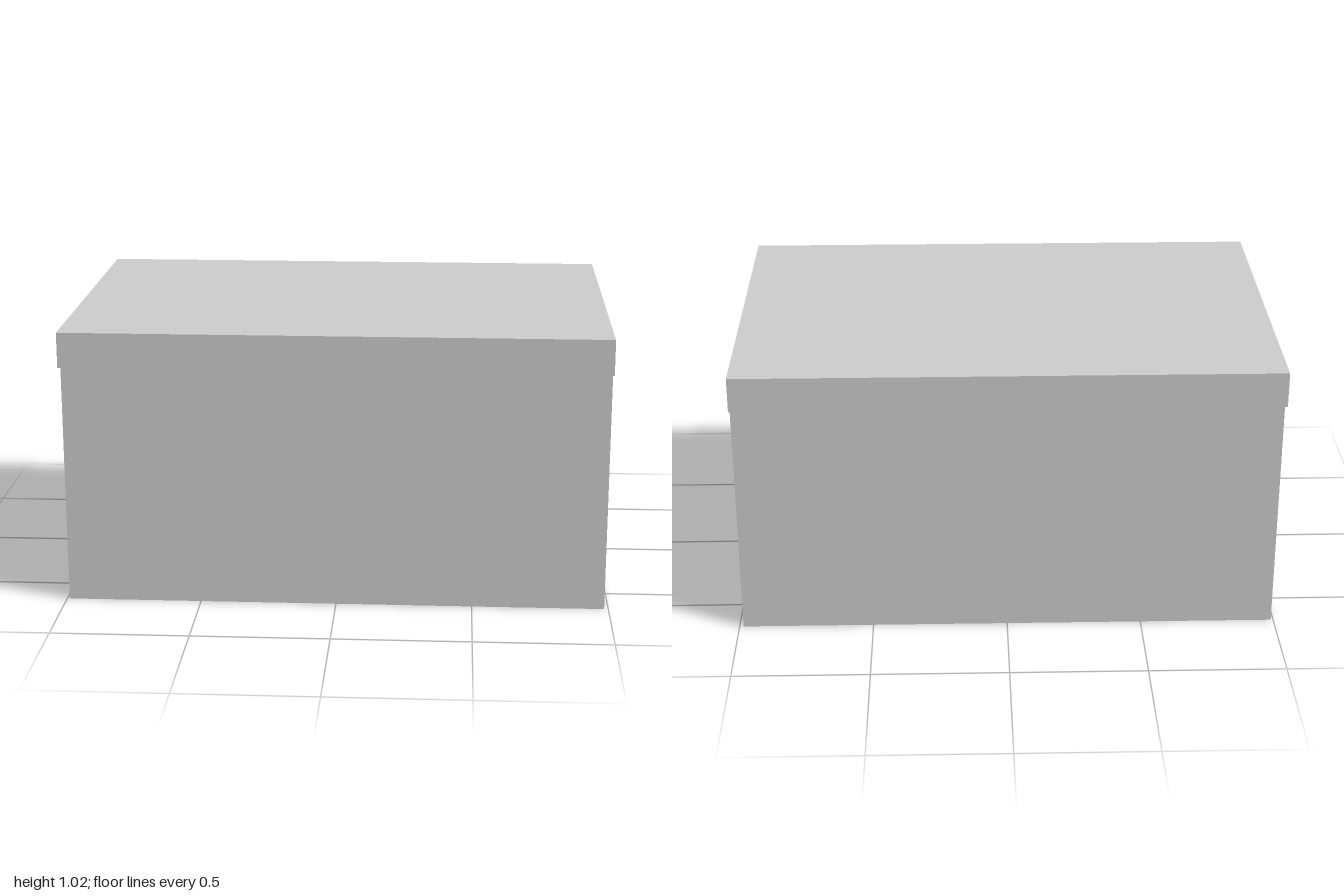
import * as THREE from 'three';

const material = new THREE.MeshStandardMaterial({ color: 0xcccccc });

// Body and lid sizes
const W = 1.976, D = 1.318, H = 1.009, T = 0.008;
const LID_W = 1.99, LID_D = 1.336, LID_TOP = 1.017, LID_BOTTOM = 0.887;
// Grommet hole in the +x wall
const HOLE = { y: 0.14, z: -0.477, r: 0.0665, tube: 0.012 };

function add(parent, name, geometry, x = 0, y = 0, z = 0) {
  const mesh = new THREE.Mesh(geometry, material);
  mesh.name = name;
  mesh.position.set(x, y, z);
  parent.add(mesh);
  return mesh;
}

function box(parent, name, w, h, d, x, y, z) {
  return add(parent, name, new THREE.BoxGeometry(w, h, d), x, y, z);
}

// Side wall with a round opening
function piercedWall(depth, y0, y1) {
  const shape = new THREE.Shape();
  shape.moveTo(-depth / 2, y0);
  shape.lineTo(depth / 2, y0);
  shape.lineTo(depth / 2, y1);
  shape.lineTo(-depth / 2, y1);
  shape.closePath();
  const hole = new THREE.Path();
  hole.absarc(-HOLE.z, HOLE.y, HOLE.r, 0, Math.PI * 2, true);
  shape.holes.push(hole);
  const geometry = new THREE.ExtrudeGeometry(shape, { depth: T, bevelEnabled: false, curveSegments: 40 });
  return geometry.rotateY(Math.PI / 2);
}

export function createModel() {
  const model = new THREE.Group();
  model.name = 'storageBox';

  // Hollow, open-topped body
  const body = new THREE.Group();
  body.name = 'body';
  body.position.x = -0.003;
  model.add(body);
  box(body, 'floor', W, T, D, 0, T / 2, 0);
  const wallH = H - T, wallY = T + wallH / 2;
  box(body, 'frontWall', W, wallH, T, 0, wallY, D / 2 - T / 2);
  box(body, 'backWall', W, wallH, T, 0, wallY, -D / 2 + T / 2);
  box(body, 'rightWall', T, wallH, D - 2 * T, -W / 2 + T / 2, wallY, 0);
  add(body, 'leftWall', piercedWall(D - 2 * T, T, H), W / 2 - T);

  // Rounded ring around the cable opening
  const ring = new THREE.TorusGeometry(HOLE.r, HOLE.tube, 16, 48).rotateY(Math.PI / 2);
  add(body, 'grommet', ring, W / 2 + 0.003, HOLE.y, HOLE.z);

  // Lid: top panel with a skirt hanging over the body
  const lid = new THREE.Group();
  lid.name = 'lid';
  lid.position.set(-0.005, 0, 0.002);
  model.add(lid);
  const t = 0.006;
  const skirtH = LID_TOP - T - LID_BOTTOM, skirtY = LID_BOTTOM + skirtH / 2;
  box(lid, 'lidPanel', LID_W, T, LID_D, 0, LID_TOP - T / 2, 0);
  for (const s of [1, -1]) {
    box(lid, s > 0 ? 'frontSkirt' : 'backSkirt', LID_W, skirtH, t, 0, skirtY, s * (LID_D - t) / 2);
    box(lid, s > 0 ? 'leftSkirt' : 'rightSkirt', t, skirtH, LID_D - 2 * t, s * (LID_W - t) / 2, skirtY, 0);
  }

  return model;
}
